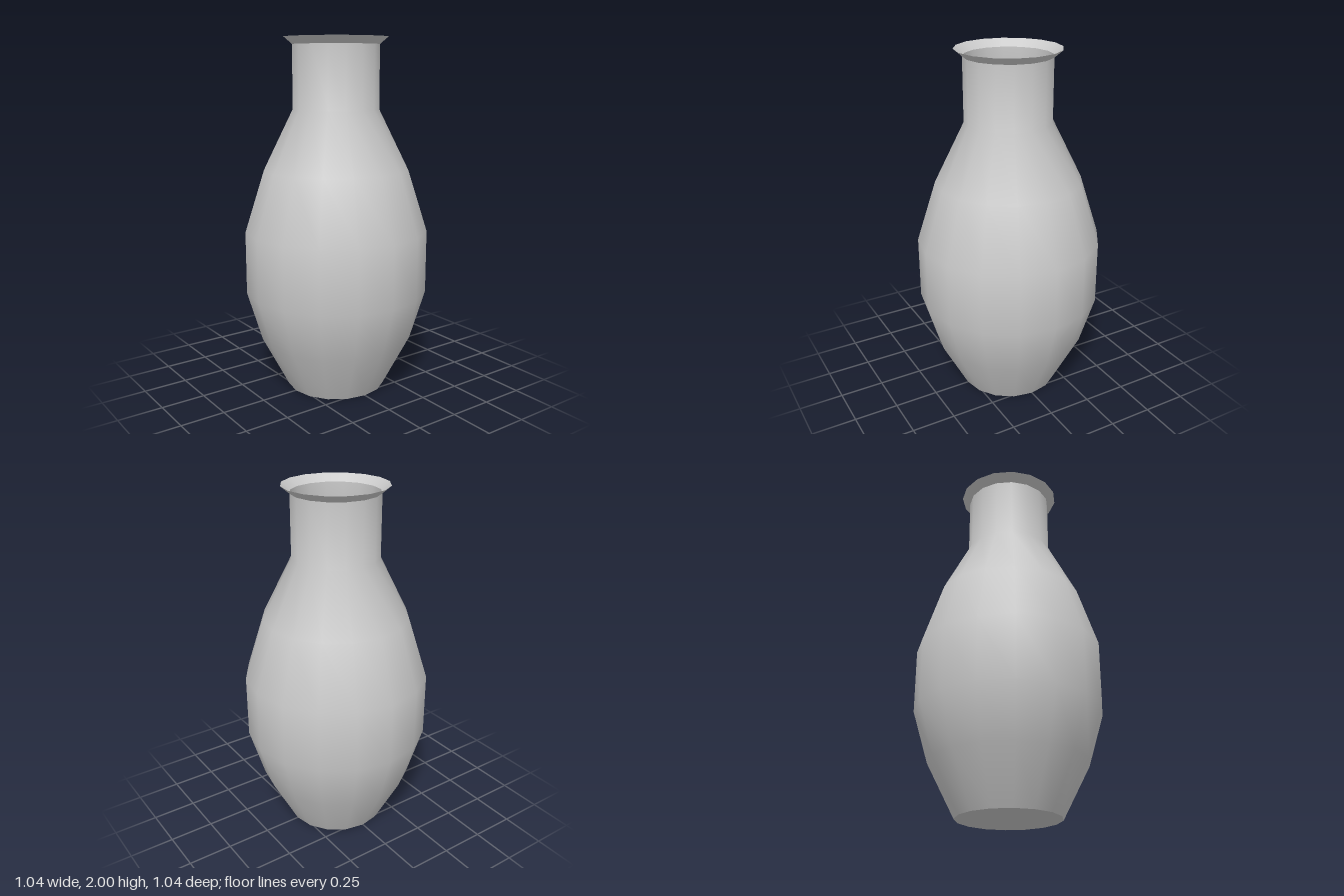
import * as THREE from 'three';

const SIDES = 16;

export function createModel() {
  const group = new THREE.Group();
  group.name = 'vase';
  const material = new THREE.MeshStandardMaterial({ color: 0xcccccc, side: THREE.DoubleSide });

  const add = (name, geometry) => {
    const mesh = new THREE.Mesh(geometry, material);
    mesh.name = name;
    group.add(mesh);
    return mesh;
  };
  // Thin open surface turned from [radius, height] pairs, bottom to top
  const turned = (profile) =>
    new THREE.LatheGeometry(profile.map(([r, y]) => new THREE.Vector2(r, y)), SIDES);

  // Belly, shoulder and straight neck
  add('body', turned([
    [0.285, 0], [0.435, 0.29], [0.52, 0.575], [0.52, 0.93],
    [0.41, 1.275], [0.243, 1.61], [0.243, 1.96],
  ]));

  // Flared lip around the open mouth
  add('lip', turned([[0.243, 1.96], [0.29, 2]]));

  // Flat floor closing the bottom
  add('base', new THREE.CircleGeometry(0.285, SIDES).rotateX(Math.PI / 2));

  return group;
}
